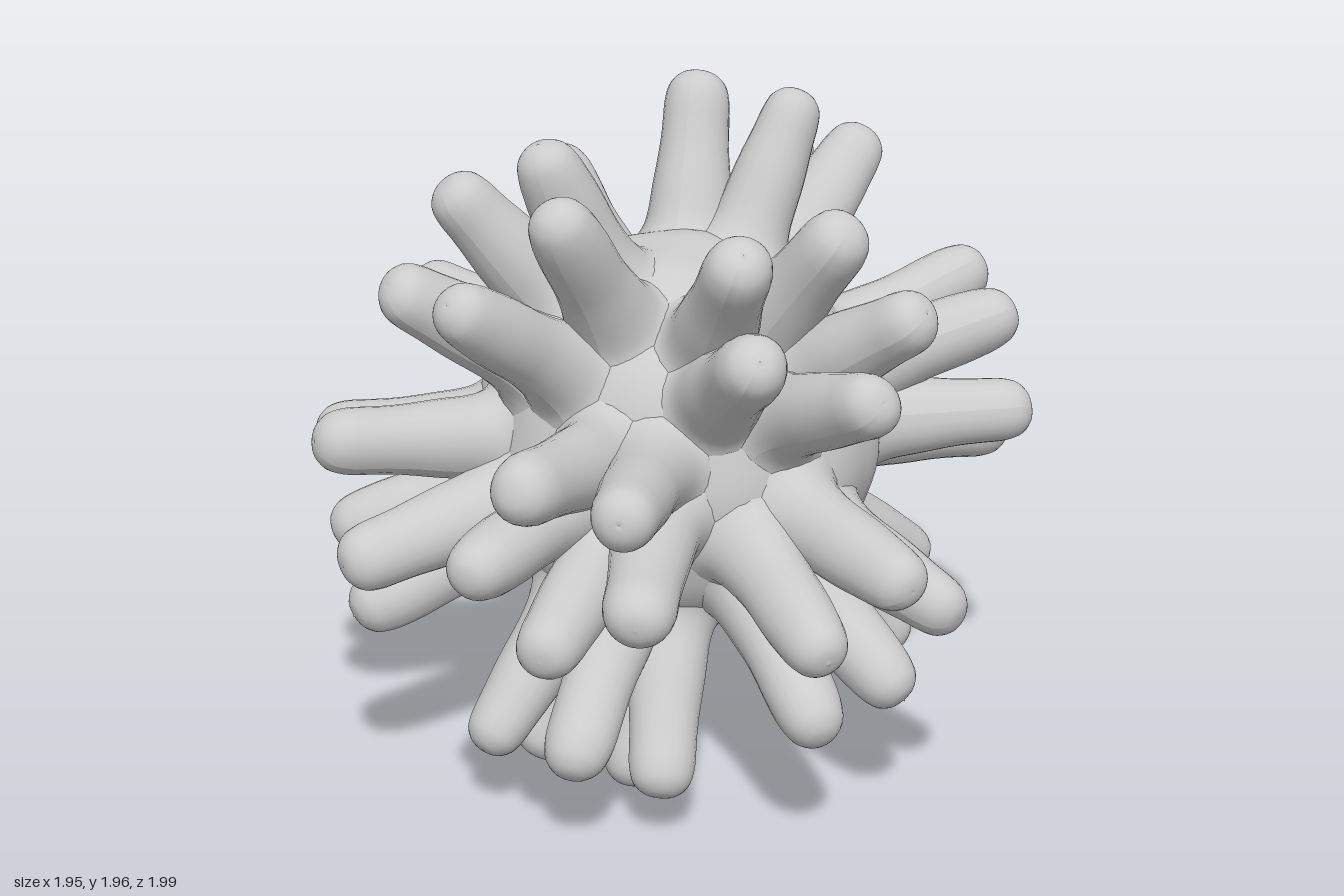
import * as THREE from 'three';

const CENTRE = new THREE.Vector3(0, 0.98, -0.12);
const RAD = Math.PI / 180;
const material = new THREE.MeshStandardMaterial({ color: 0xcccccc, side: THREE.DoubleSide });

// Gentle lumps: shift every vertex along its normal by a smooth wave
function addLumps(geo, amount, freq, seed) {
  const p = geo.attributes.position, n = geo.attributes.normal;
  for (let i = 0; i < p.count; i++) {
    const x = p.getX(i), y = p.getY(i), z = p.getZ(i);
    const d = amount * (Math.sin(x * freq + seed) + Math.sin(y * freq * 0.9 + seed * 2) + Math.sin(z * freq * 1.1 + seed * 3)) / 2;
    p.setXYZ(i, x + n.getX(i) * d, y + n.getY(i) * d, z + n.getZ(i) * d);
  }
  geo.computeVertexNormals();
  return geo;
}

// Finger-like spike along +y: flared root, slightly tapering shaft, blunt rounded tip
function spikeGeometry(length, seed) {
  const profile = [
    [0.175, 0.54], [0.142, 0.575], [0.122, 0.63], [0.111, 0.71], [0.103, 0.8],
    [0.095, length - 0.14], [0.09, length - 0.085], [0.077, length - 0.04],
    [0.05, length - 0.012], [0.024, length - 0.002], [0, length],
  ].map(([r, y]) => new THREE.Vector2(r, y));
  const curve = new THREE.SplineCurve(profile);
  const pts = curve.getPoints(28).map(v => new THREE.Vector2(Math.max(v.x, 0), v.y));
  return addLumps(new THREE.LatheGeometry(pts, 24), 0.005, 24, seed);
}

// Rings of spikes: polar angle from the axis, tip radius, azimuths in one 72-degree sector.
// side 1 is the front; side -1 is mirrored through the centre to the back.
const rings = [
  { name: 'front pole spike', side: 1, polar: 12.5, length: 1.14, azimuths: [44] },
  { name: 'front inner spike', side: 1, polar: 40.5, length: 1.105, azimuths: [49.5] },
  { name: 'front middle spike', side: 1, polar: 52, length: 1.08, azimuths: [28, 64] },
  { name: 'front outer spike', side: 1, polar: 69, length: 1.04, azimuths: [34.8, 52.8] },
  { name: 'back inner spike', side: -1, polar: 39.5, length: 1.095, azimuths: [44] },
  { name: 'back middle spike', side: -1, polar: 52, length: 1.08, azimuths: [26.5, 62.5] },
  { name: 'back outer spike', side: -1, polar: 69, length: 1.04, azimuths: [38.5, 56.5] },
];

export function createModel() {
  const group = new THREE.Group();

  // Round body
  const body = new THREE.Mesh(addLumps(new THREE.SphereGeometry(0.578, 72, 48), 0.009, 22, 1), material);
  body.name = 'body';
  body.position.copy(CENTRE);
  group.add(body);

  // Five-fold spikes, leaving a bare belt and a bare back pole
  const up = new THREE.Vector3(0, 1, 0);
  let seed = 0;
  for (const { name, side, polar, length, azimuths } of rings) {
    for (let k = 0; k < 5; k++) {
      for (const a of azimuths) {
        const az = (a + 72 * k) * RAD, s = Math.sin(polar * RAD);
        const dir = new THREE.Vector3(s * Math.cos(az), s * Math.sin(az), Math.cos(polar * RAD)).multiplyScalar(side);
        const spike = new THREE.Mesh(spikeGeometry(length, ++seed), material);
        spike.name = name;
        spike.position.copy(CENTRE);
        spike.quaternion.setFromUnitVectors(up, dir);
        group.add(spike);
      }
    }
  }
  return group;
}
